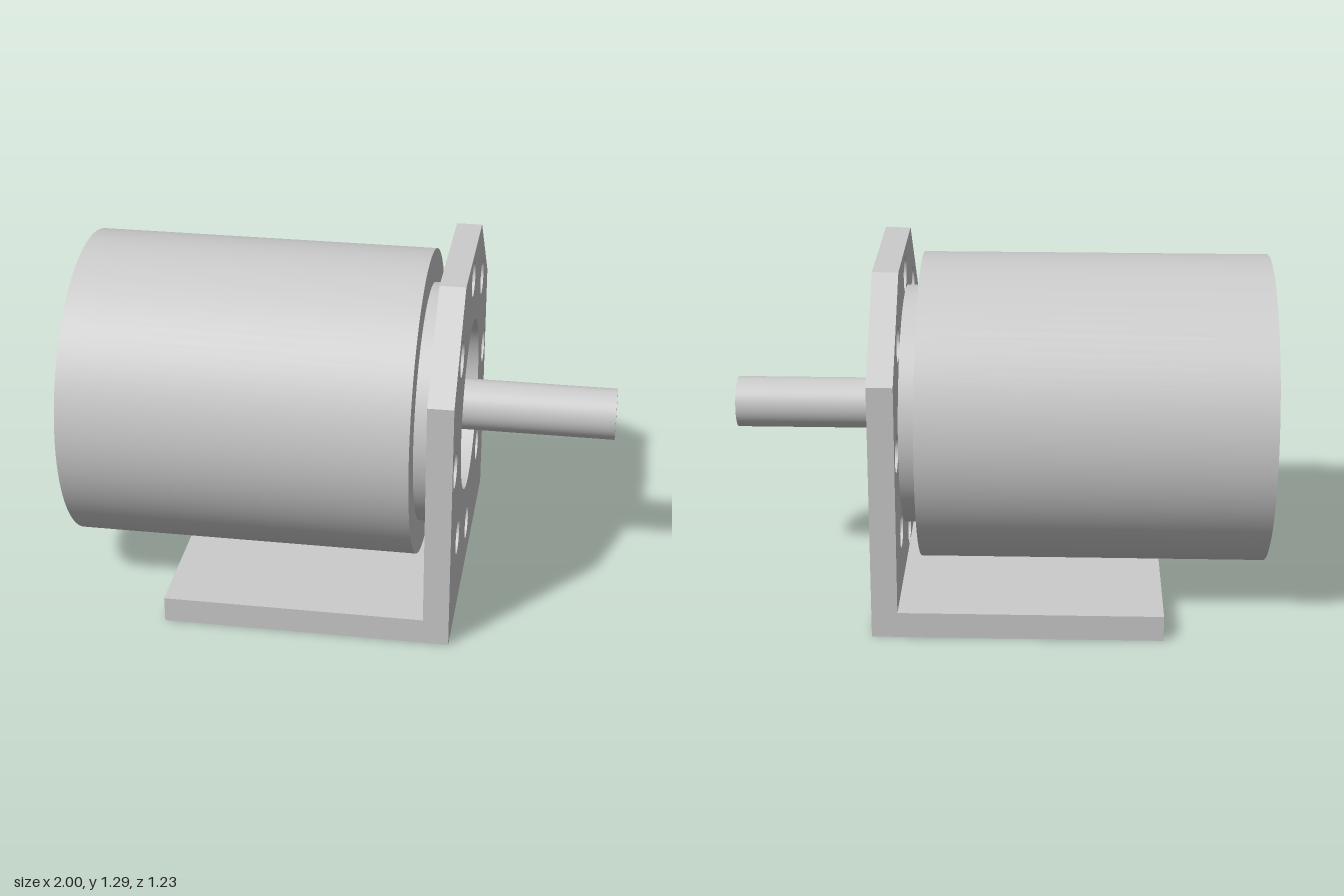
import * as THREE from 'three';
import { toCreasedNormals } from 'three/addons/utils/BufferGeometryUtils.js';

const AXIS_Y = 0.68;      // height of the motor axis
const HALF_WIDTH = 0.613; // bracket half width
const PLATE_BACK = 0.355;
const PLATE_FRONT = 0.45;

export function createModel() {
  const model = new THREE.Group();
  const material = new THREE.MeshStandardMaterial({ color: 0xcccccc });

  const add = (name, geometry) => {
    const mesh = new THREE.Mesh(geometry, material);
    mesh.name = name;
    model.add(mesh);
    return mesh;
  };

  // Cylinder lying along x on the motor axis
  const axial = (name, radius, x0, x1) => {
    const geometry = new THREE.CylinderGeometry(radius, radius, x1 - x0, 96);
    geometry.rotateZ(-Math.PI / 2);
    add(name, geometry).position.set((x0 + x1) / 2, AXIS_Y, 0);
  };

  // Motor: body, front boss and output shaft
  axial('motorBody', 0.579, -1, 0.29);
  axial('frontBoss', 0.452, 0.29, PLATE_BACK);
  axial('shaft', 0.096, PLATE_BACK, 1);

  // Upright mounting plate with chamfered top corners
  const plate = new THREE.Shape([
    [-HALF_WIDTH, 0], [HALF_WIDTH, 0], [HALF_WIDTH, 0.97],
    [0.292, 1.291], [-0.292, 1.291], [-HALF_WIDTH, 0.97],
  ].map(([x, y]) => new THREE.Vector2(x, y)));

  const addHole = (x, y, radius) => {
    plate.holes.push(new THREE.Path().absarc(x, y, radius, 0, Math.PI * 2, true));
  };

  // Central opening and ring of eight bolt holes
  addHole(0, AXIS_Y, 0.323);
  for (let i = 0; i < 8; i++) {
    const a = (i * Math.PI) / 4;
    addHole(0.516 * Math.cos(a), AXIS_Y + 0.516 * Math.sin(a), 0.066);
  }

  const plateGeometry = new THREE.ExtrudeGeometry(plate, {
    depth: PLATE_FRONT - PLATE_BACK, bevelEnabled: false, curveSegments: 48,
  });
  plateGeometry.rotateY(Math.PI / 2);
  plateGeometry.translate(PLATE_BACK, 0, 0);
  add('mountingPlate', toCreasedNormals(plateGeometry, 0.5));

  // Foot of the L bracket, running back under the motor
  const footBack = -0.613, footHeight = 0.097;
  add('bracketFoot', new THREE.BoxGeometry(PLATE_BACK - footBack, footHeight, HALF_WIDTH * 2))
    .position.set((PLATE_BACK + footBack) / 2, footHeight / 2, 0);

  return model;
}
